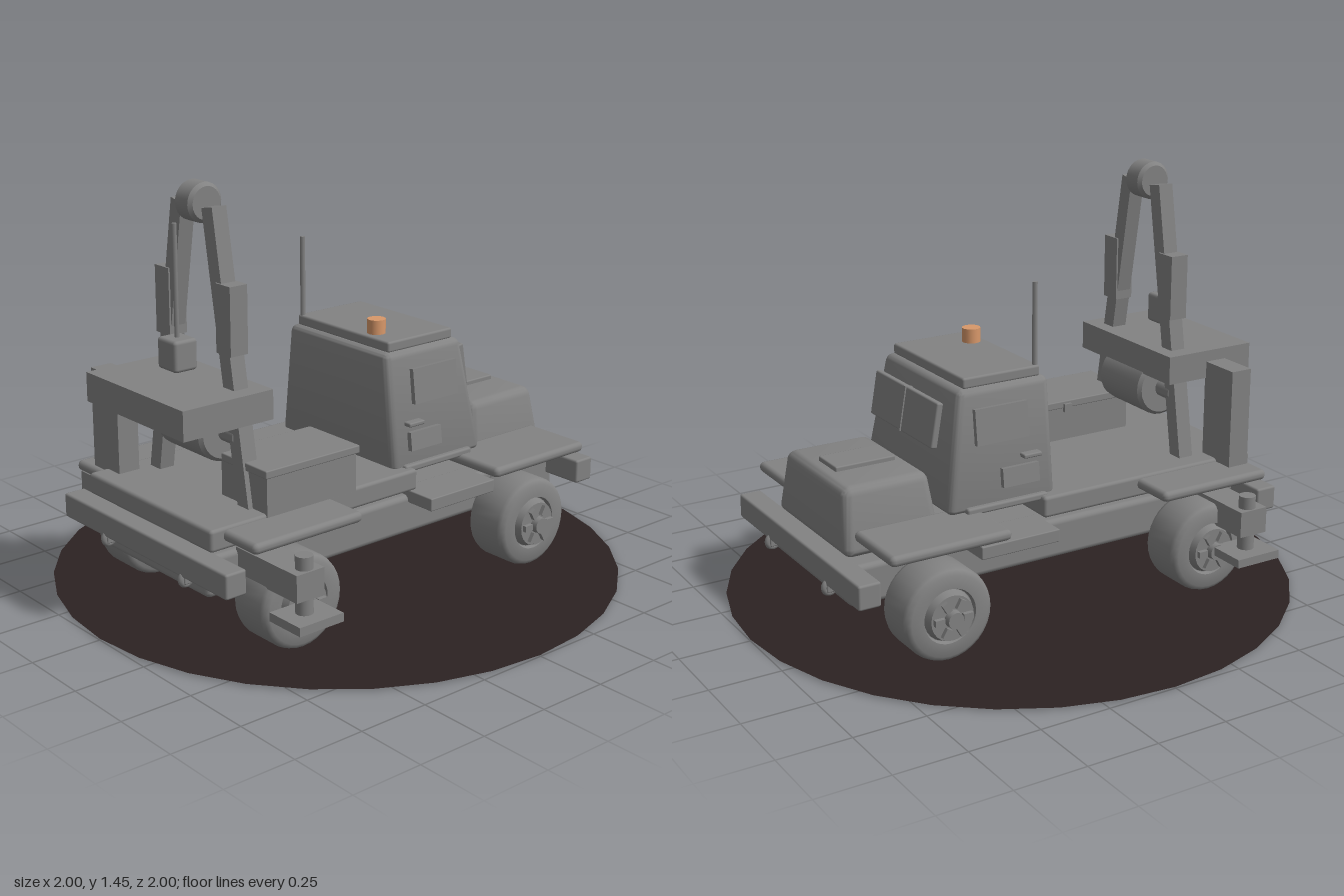
import * as THREE from 'three';
import { toCreasedNormals } from 'three/addons/utils/BufferGeometryUtils.js';
import { RoundedBoxGeometry } from 'three/addons/geometries/RoundedBoxGeometry.js';

export function createModel() {
  const model = new THREE.Group();
  model.name = 'craneTruck';
  const grey = new THREE.MeshStandardMaterial({ name: 'bodyGrey', color: 0x828282 });
  const orange = new THREE.MeshStandardMaterial({ name: 'beaconOrange', color: 0xd8986a });
  const dark = new THREE.MeshStandardMaterial({ name: 'groundDark', color: 0x2c2222, side: THREE.DoubleSide });

  function add(name, geometry, x = 0, y = 0, z = 0, material = grey, parent = model) {
    const mesh = new THREE.Mesh(geometry, material);
    mesh.name = name;
    mesh.position.set(x, y, z);
    parent.add(mesh);
    return mesh;
  }
  // Box given by its limits, with optionally rounded edges
  function box(name, [x0, x1], [y0, y1], [z0, z1], r = 0) {
    const size = [x1 - x0, y1 - y0, z1 - z0];
    const geometry = r ? new RoundedBoxGeometry(...size, 2, r) : new THREE.BoxGeometry(...size);
    return add(name, geometry, (x0 + x1) / 2, (y0 + y1) / 2, (z0 + z1) / 2);
  }
  // The same box on both sides of the truck
  function pair(name, xs, ys, [z0, z1], r) {
    box(name + 'Right', xs, ys, [z0, z1], r);
    box(name + 'Left', xs, ys, [-z1, -z0], r);
  }
  function rod(name, r, y0, y1, x, z, material = grey, sides = 16) {
    return add(name, new THREE.CylinderGeometry(r, r, y1 - y0, sides), x, (y0 + y1) / 2, z, material);
  }
  // Rounded block that narrows towards the top
  function taperedBlock(name, low, high, [y0, y1], r) {
    const geometry = new RoundedBoxGeometry(1, y1 - y0, 1, 3, r);
    const p = geometry.attributes.position;
    const h = y1 - y0;
    // Keep the corner radius constant while stretching the unit footprint
    const stretch = (v, half) => Math.sign(v) * (half - (0.5 - Math.abs(v)));
    const clampStretch = (v, half) => (Math.abs(v) < 0.5 - r - 1e-4 ? v * half * 2 : stretch(v, half));
    for (let i = 0; i < p.count; i++) {
      const t = p.getY(i) / h + 0.5;
      const a = THREE.MathUtils.lerp(low.x[0], high.x[0], t);
      const b = THREE.MathUtils.lerp(low.x[1], high.x[1], t);
      const z = THREE.MathUtils.lerp(low.z, high.z, t);
      p.setXYZ(i, (a + b) / 2 + clampStretch(p.getX(i), (b - a) / 2), p.getY(i), clampStretch(p.getZ(i), z));
    }
    geometry.deleteAttribute('normal');
    return add(name, toCreasedNormals(geometry, 0.6), 0, (y0 + y1) / 2, 0);
  }

  // Ground disc
  add('groundDisc', new THREE.CircleGeometry(1, 32).rotateX(-Math.PI / 2), 0, 0.005, 0, dark);

  // Chassis, bumpers and tow hooks
  box('chassis', [-0.79, 0.78], [0.185, 0.325], [-0.31, 0.31], 0.02);
  box('frontBumper', [0.745, 0.825], [0.245, 0.33], [-0.46, 0.46], 0.008);
  box('rearBumper', [-0.83, -0.75], [0.245, 0.33], [-0.46, 0.46], 0.008);
  for (const x of [-0.81, 0.81]) {
    for (const z of [-0.22, 0.22]) {
      add('towHook', new THREE.TorusGeometry(0.018, 0.012, 8, 16), x, 0.235, z);
      box('towHookBracket', [x - 0.015, x + 0.015], [0.22, 0.255], [z - 0.015, z + 0.015], 0.005);
    }
  }

  // Wheels with rims and lugs
  const tyre = [[0.07, -0.085], [0.14, -0.085], [0.155, -0.075], [0.16, -0.06], [0.16, 0.06],
    [0.155, 0.075], [0.14, 0.085], [0.095, 0.085], [0.09, 0.07], [0, 0.07]];
  const tyreGeometry = toCreasedNormals(
    new THREE.LatheGeometry([[0, -0.085], ...tyre].map(([r, y]) => new THREE.Vector2(r, y)), 32), 0.7);
  for (const x of [-0.535, 0.51]) {
    for (const side of [-1, 1]) {
      const wheel = new THREE.Group();
      wheel.name = 'wheel';
      wheel.position.set(x, 0.16, side * 0.392);
      wheel.rotation.x = side * Math.PI / 2;
      model.add(wheel);
      add('tyre', tyreGeometry, 0, 0, 0, grey, wheel);
      add('rim', new THREE.CylinderGeometry(0.078, 0.088, 0.03, 24), 0, 0.085, 0, grey, wheel);
      add('hub', new THREE.CylinderGeometry(0.028, 0.032, 0.05, 16), 0, 0.1, 0, grey, wheel);
      for (let i = 0; i < 6; i++) {
        const a = i * Math.PI / 3;
        const lug = add('rimSpoke', new THREE.BoxGeometry(0.035, 0.02, 0.022), Math.cos(a) * 0.052, 0.105, -Math.sin(a) * 0.052, grey, wheel);
        lug.rotation.y = a;
      }
    }
    const axle = add('axle', new THREE.CylinderGeometry(0.03, 0.03, 0.7, 12), x, 0.16, 0);
    axle.rotation.x = Math.PI / 2;
  }

  // Deck, fenders and running boards
  box('deck', [-0.8, 0.07], [0.355, 0.43], [-0.345, 0.345], 0.012);
  pair('frontFender', [0.29, 0.73], [0.383, 0.42], [0.24, 0.503], 0.017);
  pair('rearFender', [-0.75, -0.31], [0.383, 0.42], [0.28, 0.503], 0.017);
  pair('runningBoard', [0.06, 0.36], [0.3, 0.345], [0.27, 0.425], 0.004);

  // Hood with a raised hatch
  taperedBlock('hood', { x: [0.415, 0.768], z: 0.265 }, { x: [0.44, 0.748], z: 0.22 }, [0.33, 0.557], 0.03);
  box('hoodHatch', [0.48, 0.7], [0.55, 0.573], [-0.065, 0.065], 0.005);

  // Cab, roof and windscreen
  taperedBlock('cab', { x: [0, 0.412], z: 0.305 }, { x: [0, 0.345], z: 0.258 }, [0.415, 0.825], 0.025);
  box('roof', [0.025, 0.32], [0.822, 0.86], [-0.24, 0.24], 0.008);
  const screen = new THREE.Group();
  screen.name = 'windscreen';
  screen.position.set(0.403, 0.705, 0);
  screen.rotation.z = 0.17;
  model.add(screen);
  add('windscreenPane', new RoundedBoxGeometry(0.024, 0.155, 0.43, 2, 0.006), 0, 0, 0, grey, screen);
  add('windscreenDivider', new THREE.BoxGeometry(0.03, 0.155, 0.012), 0.002, 0, 0, grey, screen);

  // Doors: side windows, pockets, handles and sills
  for (const side of [-1, 1]) {
    const pane = add('sideWindow', new THREE.BoxGeometry(0.2, 0.122, 0.024), 0.2, 0.7, side * 0.278);
    pane.rotation.x = -side * 0.12;
    const pocket = add('doorPocket', new THREE.BoxGeometry(0.14, 0.065, 0.024), 0.14, 0.515, side * 0.3);
    pocket.rotation.x = -side * 0.12;
    add('doorHandle', new RoundedBoxGeometry(0.07, 0.015, 0.035, 2, 0.005), 0.095, 0.577, side * 0.297);
    add('doorSill', new RoundedBoxGeometry(0.31, 0.025, 0.04, 2, 0.008), 0.195, 0.425, side * 0.3);
  }

  // Antenna and beacon
  rod('antenna', 0.009, 0.8, 1.143, 0.036, -0.225, grey, 8);
  rod('beacon', 0.032, 0.858, 0.91, 0.078, 0.12, orange, 20);

  // Toolbox
  box('toolbox', [-0.58, -0.21], [0.42, 0.56], [0.11, 0.348]);
  box('toolboxLid', [-0.59, -0.2], [0.553, 0.58], [0.1, 0.357], 0.004);
  box('toolboxLatch', [-0.325, -0.295], [0.54, 0.57], [0.09, 0.104]);

  // Platform with its post
  box('platform', [-0.84, -0.49], [0.71, 0.81], [-0.27, 0.27]);
  box('platformPost', [-0.73, -0.65], [0.42, 0.77], [-0.417, -0.265]);

  // Crane frame legs with sleeves
  for (const side of [-1, 1]) {
    const leg = add('craneLeg', new THREE.BoxGeometry(0.056, 0.98, 0.056), -0.57, 0.895, side * 0.165);
    leg.rotation.x = -side * 0.17;
    box('craneSleeve', [-0.604, -0.536], [0.92, 1.147], [side * 0.165 - 0.038, side * 0.165 + 0.038]);
  }

  // Sheave, winch drum, cable and hook block
  function drum(name, r, length, x, y) {
    const e = 0.012;
    const profile = [[0, -length / 2], [r - e, -length / 2], [r, e - length / 2], [r, length / 2 - e], [r - e, length / 2], [0, length / 2]];
    const geometry = toCreasedNormals(new THREE.LatheGeometry(profile.map(([a, b]) => new THREE.Vector2(a, b)), 24), 0.6);
    add(name, geometry.rotateX(Math.PI / 2), x, y, 0);
  }
  drum('sheave', 0.066, 0.09, -0.57, 1.383);
  drum('winchDrum', 0.104, 0.25, -0.57, 0.65);
  drum('winchShaft', 0.032, 0.42, -0.57, 0.65);
  rod('cable', 0.008, 0.94, 1.325, -0.665, 0, grey, 8);
  box('hookBlock', [-0.71, -0.62], [0.85, 0.955], [-0.05, 0.05], 0.012);

  // Outriggers
  pair('outriggerArm', [-0.67, -0.56], [0.24, 0.332], [0.3, 0.605]);
  pair('outriggerPad', [-0.695, -0.52], [0.153, 0.183], [0.5, 0.65]);
  for (const z of [-0.57, 0.57]) rod('outriggerLeg', 0.029, 0.17, 0.376, -0.612, z);

  return model;
}
